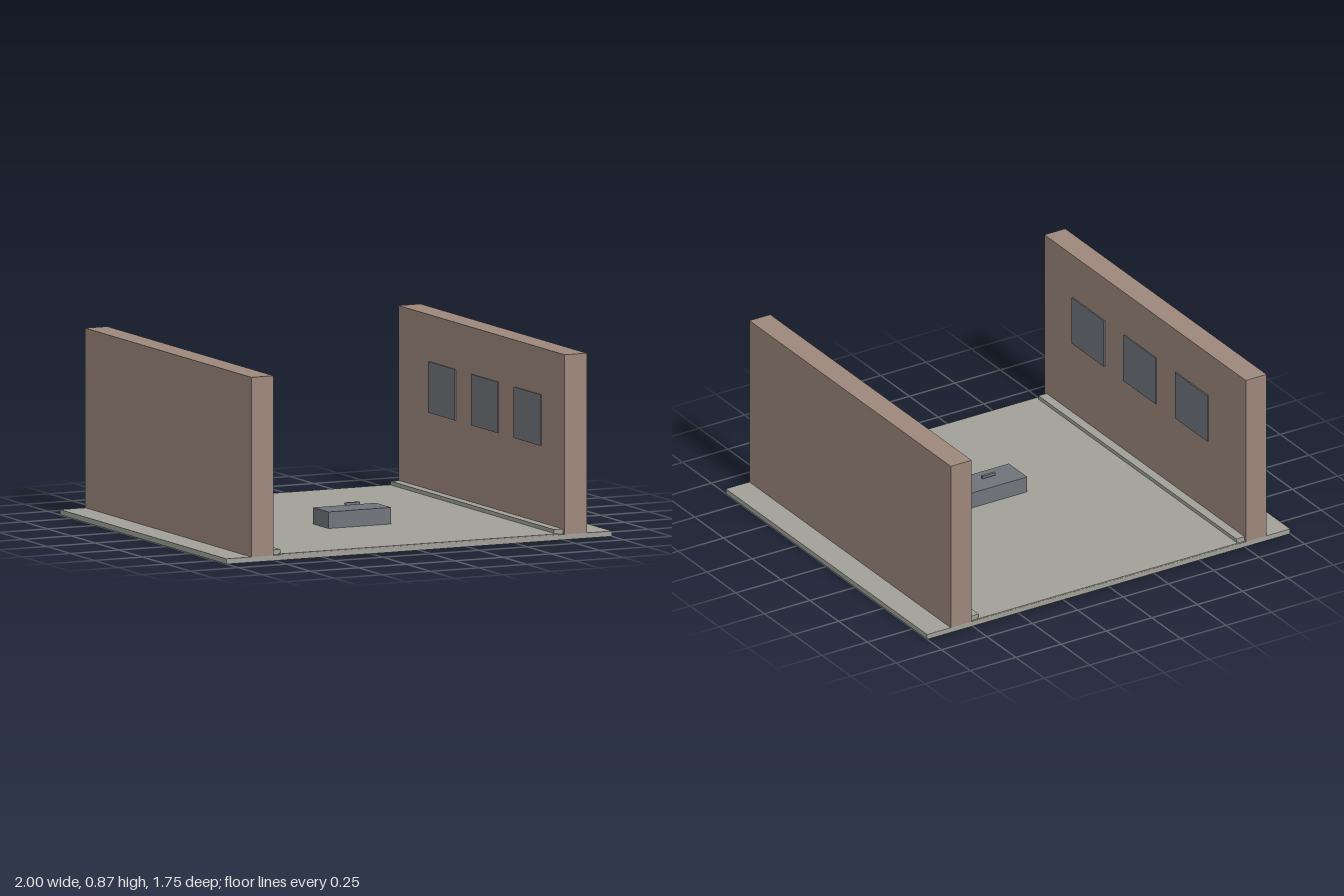
import * as THREE from 'three';

export function createModel() {
  const group = new THREE.Group();
  const stone = new THREE.MeshStandardMaterial({ color: 0xa1a098 });
  stone.name = 'stone grey';
  const plaster = new THREE.MeshStandardMaterial({ color: 0x9c877b });
  plaster.name = 'brown plaster';
  const slate = new THREE.MeshStandardMaterial({ color: 0x70747a });
  slate.name = 'slate grey';

  // Box from its minimum and maximum corners
  function box(name, material, [x0, y0, z0], [x1, y1, z1], parent = group) {
    const mesh = new THREE.Mesh(new THREE.BoxGeometry(x1 - x0, y1 - y0, z1 - z0), material);
    mesh.position.set((x0 + x1) / 2, (y0 + y1) / 2, (z0 + z1) / 2);
    mesh.name = name;
    parent.add(mesh);
  }

  // Base slab
  box('baseSlab', stone, [-1, 0, -0.875], [1, 0.025, 0.875]);

  // Floor planks, laid edge to edge between the walls
  const floor = new THREE.Group();
  floor.name = 'floorPlanks';
  group.add(floor);
  const columns = 4, rows = 14, w = 1.44 / columns, d = 1.748 / rows;
  for (let i = 0; i < columns; i++) {
    for (let j = 0; j < rows; j++) {
      const x = -0.72 + i * w, z = -0.874 + j * d;
      box('floorPlank', stone, [x, 0.025, z], [x + w, 0.03, z + d], floor);
    }
  }

  // Walls, skirting curbs and windows on both sides
  for (const s of [-1, 1]) {
    const side = new THREE.Group();
    side.name = s > 0 ? 'leftSide' : 'rightSide';
    group.add(side);
    const sideBox = (name, material, a, b, y0, y1, z0, z1) =>
      box(name, material, [Math.min(s * a, s * b), y0, z0], [Math.max(s * a, s * b), y1, z1], side);
    sideBox('wall', plaster, 0.755, 0.87, 0.025, 0.87, -0.875, 0.875);
    sideBox('curb', stone, 0.71, 0.755, 0.025, 0.048, -0.865, 0.855);
    for (const z of [-0.41, 0.04, 0.49]) {
      sideBox('window', slate, 0.749, 0.757, 0.41, 0.65, z - 0.14, z + 0.14);
    }
  }

  // Low chest with its handle hovering just above the lid
  box('chest', slate, [-0.163, 0.03, 0.09], [0.163, 0.108, 0.25]);
  box('chestHandle', slate, [-0.036, 0.12, 0.164], [0.036, 0.133, 0.177]);

  return group;
}
